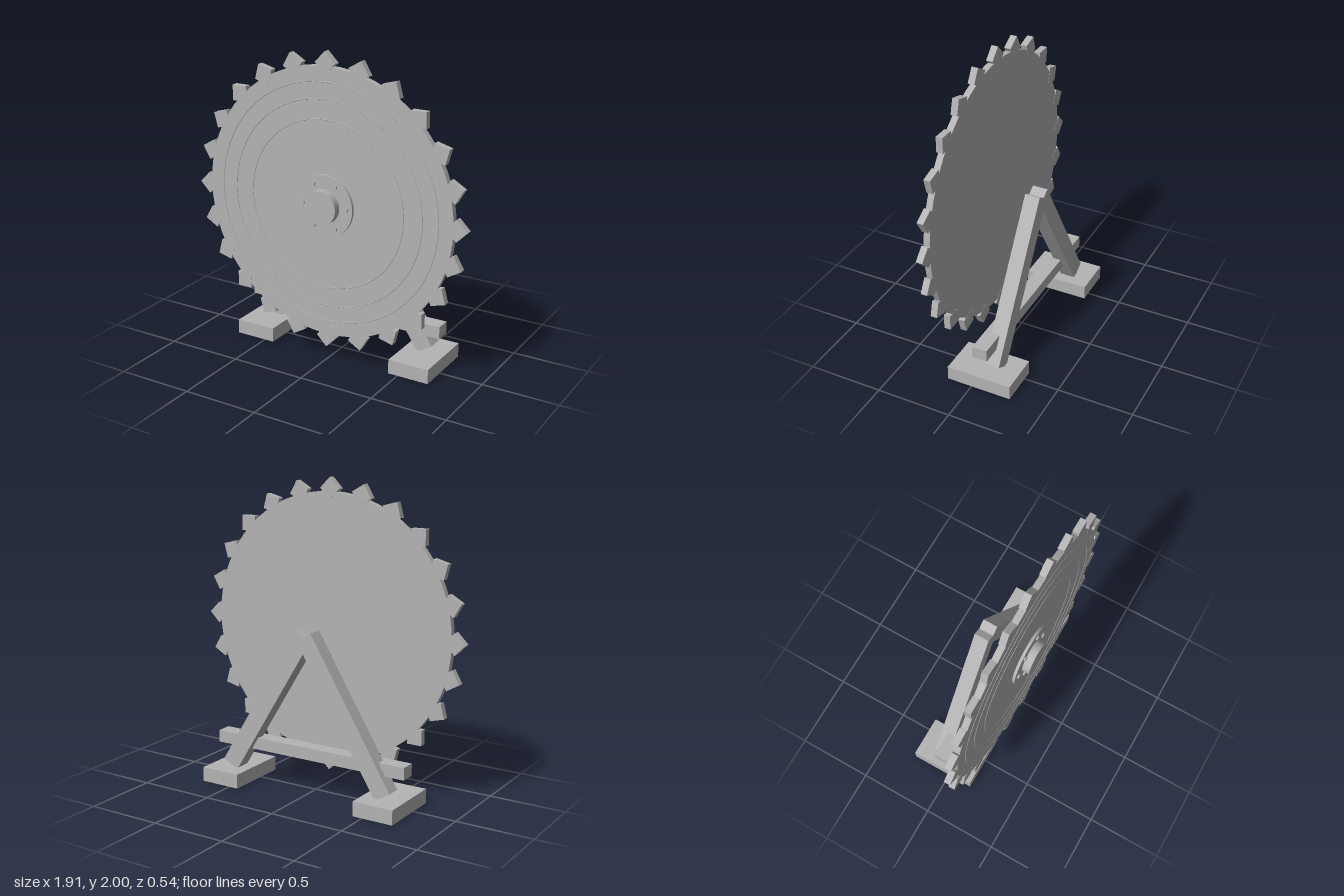
import * as THREE from 'three';

export function createModel() {
  const model = new THREE.Group();
  const grey = new THREE.MeshStandardMaterial({ color: 0xb4b4b4 });
  grey.name = 'plain grey';

  const add = (name, geometry, parent, x = 0, y = 0, z = 0) => {
    const mesh = new THREE.Mesh(geometry, grey);
    mesh.name = name;
    mesh.position.set(x, y, z);
    parent.add(mesh);
    return mesh;
  };
  // Disc facing z, spanning z0 to z1
  const disc = (name, r, z0, z1, sides, parent, x = 0, y = 0) =>
    add(name, new THREE.CylinderGeometry(r, r, z1 - z0, sides).rotateX(Math.PI / 2), parent, x, y, (z0 + z1) / 2);

  // Toothed blade with hub
  const blade = new THREE.Group();
  blade.name = 'sawBlade';
  blade.position.y = 1.045;
  model.add(blade);
  disc('bladeDisc', 0.865, 0.158, 0.199, 64, blade);

  // Square teeth set corner outward
  const toothGeo = new THREE.BoxGeometry(0.1, 0.1, 0.043);
  for (let i = 0; i < 24; i++) {
    const a = (i * Math.PI) / 12;
    const tooth = add('tooth', toothGeo, blade, 0.884 * Math.cos(a), 0.884 * Math.sin(a), 0.1785);
    tooth.rotation.z = a + Math.PI / 4;
  }

  // Fine rings on the front face
  for (const r of [0.77, 0.665, 0.54]) {
    add('faceRing', new THREE.TorusGeometry(r, 0.003, 8, 64), blade, 0, 0, 0.199);
  }

  // Flange, hub and bolts
  disc('flange', 0.2, 0.19, 0.217, 48, blade);
  disc('hub', 0.109, 0.2, 0.268, 32, blade);
  for (let i = 0; i < 6; i++) {
    const a = (i * Math.PI) / 3;
    disc('bolt', 0.017, 0.21, 0.228, 8, blade, 0.155 * Math.cos(a), 0.155 * Math.sin(a));
  }

  // A-frame stand behind the blade
  const stand = new THREE.Group();
  stand.name = 'stand';
  model.add(stand);
  for (const s of [1, -1]) {
    const leg = add('leg', new THREE.BoxGeometry(0.12, 1.09, 0.1), stand, s * 0.289, 0.574, -0.1);
    leg.rotation.z = s * 0.55;
    add('foot', new THREE.BoxGeometry(0.276, 0.095, 0.435), stand, s * 0.573, 0.0475, -0.05);
  }
  add('crossbar', new THREE.BoxGeometry(1.395, 0.08, 0.1), stand, 0, 0.27, -0.055);

  return model;
}
